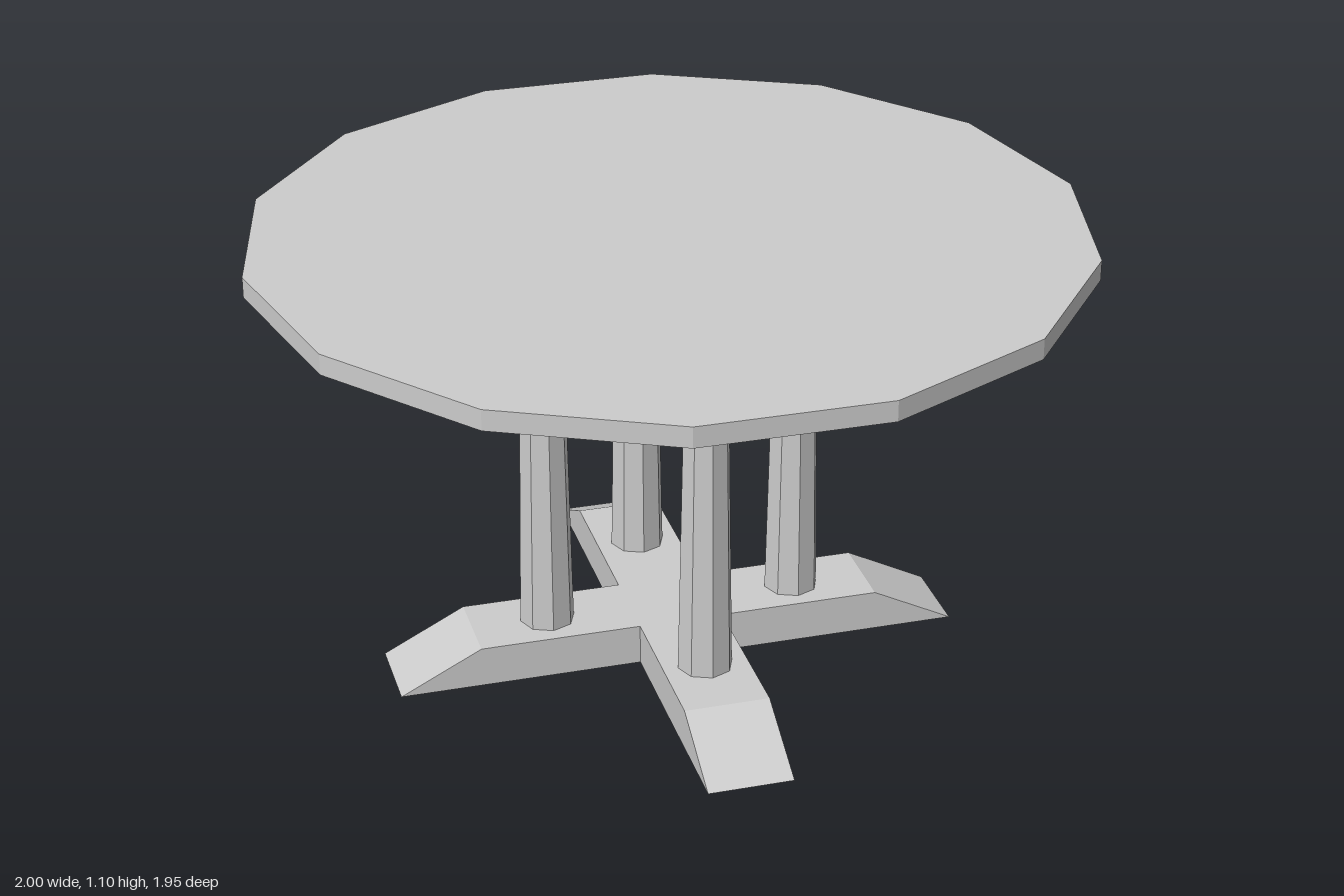
import * as THREE from 'three';

const HALF_WIDTH = 0.104;

// Outline of a four-armed cross, counter-clockwise seen from above
function crossOutline(reach, y) {
  const points = [];
  const up = new THREE.Vector3(0, 1, 0);
  for (let arm = 0; arm < 4; arm++) {
    for (const [x, z] of [[reach, HALF_WIDTH], [reach, -HALF_WIDTH], [HALF_WIDTH, -HALF_WIDTH]]) {
      points.push(new THREE.Vector3(x, y, z).applyAxisAngle(up, arm * Math.PI / 2));
    }
  }
  return points;
}

// Hollow cross with sloped arm ends: closed at capY, open at openY
function crossShell(capReach, capY, openReach, openY) {
  const cap = crossOutline(capReach, capY);
  const open = crossOutline(openReach, openY);
  const centre = new THREE.Vector3(0, capY, 0);
  const corners = [];
  const triangle = (a, b, c) => corners.push(...(capY > openY ? [a, b, c] : [a, c, b]));
  for (let i = 0; i < cap.length; i++) {
    const j = (i + 1) % cap.length;
    triangle(centre, cap[i], cap[j]);
    triangle(open[i], open[j], cap[j]);
    triangle(open[i], cap[j], cap[i]);
  }
  const geometry = new THREE.BufferGeometry().setFromPoints(corners);
  geometry.computeVertexNormals();
  return geometry;
}

export function createModel() {
  const table = new THREE.Group();
  table.name = 'roundTable';
  const solid = new THREE.MeshStandardMaterial({ color: 0xcccccc, flatShading: true });
  const shell = new THREE.MeshStandardMaterial({ color: 0xcccccc, flatShading: true, side: THREE.DoubleSide });

  const add = (name, geometry, material) => {
    const mesh = new THREE.Mesh(geometry, material);
    mesh.name = name;
    table.add(mesh);
    return mesh;
  };

  // Fourteen-sided top with a corner on the x axis
  const top = add('tabletop', new THREE.CylinderGeometry(1, 1, 0.05, 14), solid);
  top.rotation.y = Math.PI / 2;
  top.position.y = 1.077;

  // Cross-shaped foot and the inverted brace beneath the top
  add('crossFoot', crossShell(0.5, 0.102, 0.7, 0), shell);
  add('crossBrace', crossShell(0.5, 0.97, 0.67, 1.052), shell);

  // Tapered columns, one on each arm, ending just inside the hollow foot
  const bottomY = 0.06, topY = 0.985;
  const column = new THREE.CylinderGeometry(0.051, 0.068, topY - bottomY, 8);
  ['left', 'back', 'right', 'front'].forEach((side, i) => {
    const angle = i * Math.PI / 2;
    const mesh = add(side + 'Column', column, solid);
    mesh.position.set(0.312 * Math.cos(angle), (topY + bottomY) / 2, -0.312 * Math.sin(angle));
  });

  return table;
}
